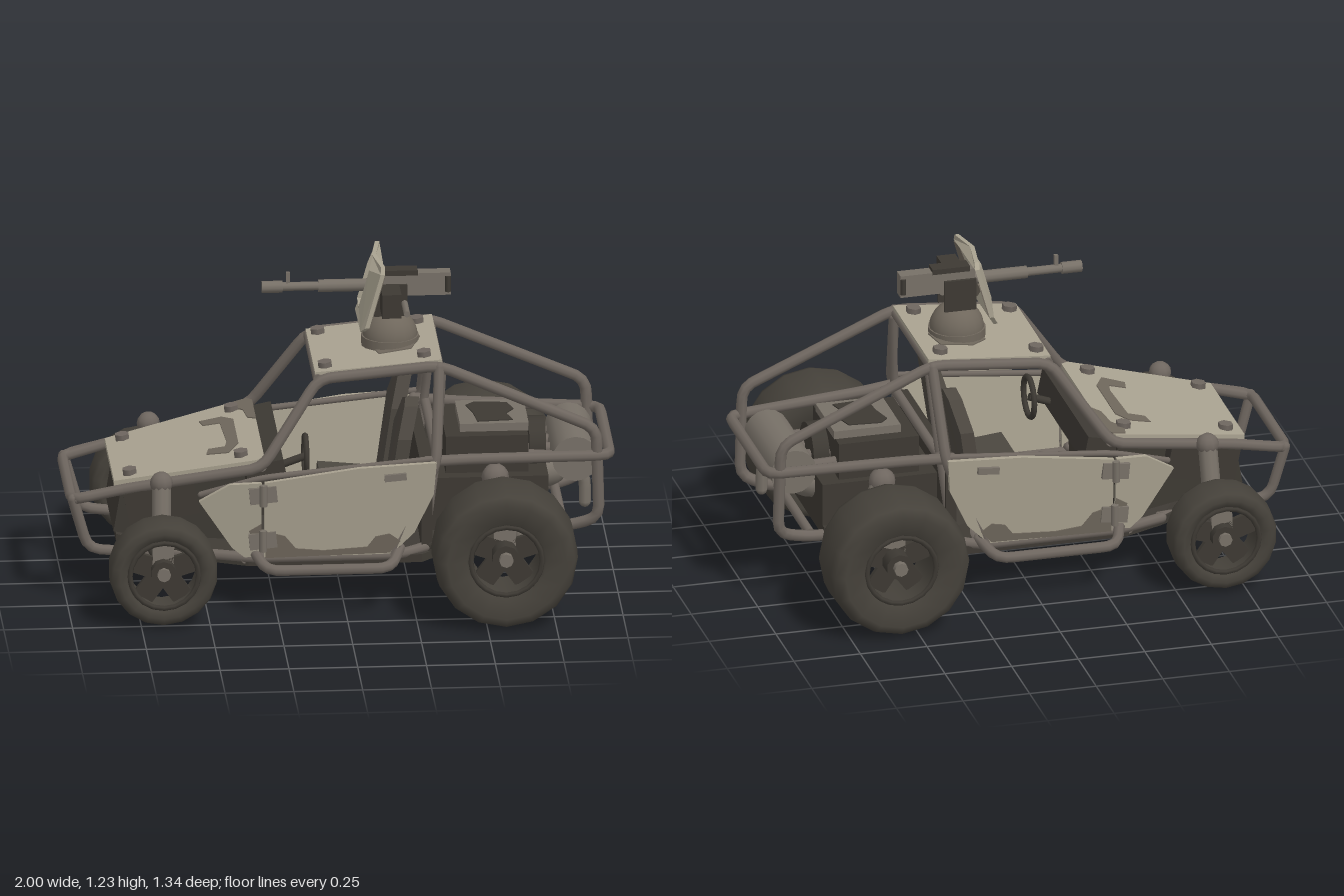
import * as THREE from 'three';
import { mergeGeometries } from 'three/addons/utils/BufferGeometryUtils.js';

const mat = (name, color) => Object.assign(new THREE.MeshStandardMaterial({ color }), { name });
const TAN = mat('sand paint', 0xa9a290), CAMO = mat('brown camouflage', 0x6f675c), TUBE = mat('tube steel', 0x6e665f);
const TYRE = mat('tyre rubber', 0x45413a), DARK = mat('dark chassis', 0x3d3933), METAL = mat('gun metal', 0x777067);
const SEAT = mat('seat fabric', 0x4c4740);
const V = (p) => new THREE.Vector3(...p);

export function createModel() {
  const root = new THREE.Group();
  root.name = 'buggy';
  const add = (name, geo, m, pos = [0, 0, 0], rot = [0, 0, 0], parent = root) => {
    const o = new THREE.Mesh(geo, m);
    o.name = name;
    o.position.set(...pos);
    o.rotation.set(...rot);
    parent.add(o);
    return o;
  };
  const box = (name, m, size, pos, rot, parent) => add(name, new THREE.BoxGeometry(...size), m, pos, rot, parent);
  const cyl = (name, m, r, h, pos, rot, n = 12, parent = root, r2 = r) =>
    add(name, new THREE.CylinderGeometry(r2, r, h, n), m, pos, rot, parent);

  // Straight rod between two points
  const rod = (name, m, a, b, r, n = 10) => {
    const A = V(a), B = V(b), o = cyl(name, m, r, A.distanceTo(B), [0, 0, 0], [0, 0, 0], n);
    o.position.copy(A).lerp(B, 0.5);
    o.quaternion.setFromUnitVectors(new THREE.Vector3(0, 1, 0), B.sub(A).normalize());
    return o;
  };

  // Bent tube: straight runs joined by rounded corners, with ball ends
  const tube = (name, pts, r = 0.02, m = TUBE, bend = 0.05) => {
    const p = pts.map(V), path = new THREE.CurvePath();
    let last = p[0];
    for (let i = 1; i < p.length - 1; i++) {
      const near = (q) => p[i].clone().lerp(q, Math.min(bend / p[i].distanceTo(q), 0.45));
      const a = near(p[i - 1]), b = near(p[i + 1]);
      path.add(new THREE.LineCurve3(last, a));
      path.add(new THREE.QuadraticBezierCurve3(a, p[i], b));
      last = b;
    }
    path.add(new THREE.LineCurve3(last, p[p.length - 1]));
    const ball = (q) => new THREE.SphereGeometry(r, 8, 6).translate(q.x, q.y, q.z);
    const body = new THREE.TubeGeometry(path, Math.max(4, Math.ceil(path.getLength() / 0.03)), r, 8);
    return add(name, mergeGeometries([body, ball(p[0]), ball(p[p.length - 1])]), m);
  };

  // Flat plate from an outline, bent into place by a rule (u, v, w) -> [x, y, z]
  const plate = (name, m, outline, t, rule, hole) => {
    const shape = new THREE.Shape(outline.map((q) => new THREE.Vector2(...q)));
    if (hole) shape.holes.push(new THREE.Path(hole.map((q) => new THREE.Vector2(...q))));
    const g = new THREE.ExtrudeGeometry(shape, { depth: t, bevelEnabled: false }), a = g.attributes.position;
    for (let i = 0; i < a.count; i++) a.setXYZ(i, ...rule(a.getX(i), a.getY(i), a.getZ(i) - t / 2));
    g.computeVertexNormals();
    return add(name, g, m);
  };
  const mirrored = (half) => [...half, ...half.map(([x, z]) => [x, -z]).reverse()];
  const lying = (f) => (x, v, w) => [x, f(x) + w, -v];
  const hoodY = (x) => 0.57 + 0.2 * (x + 0.3), roofY = (x) => 0.865 + 0.09 * (x + 0.09);
  const sideZ = (x, y) => 0.365 + 0.1 * (y - 0.2) - 0.15 * Math.max(0, -0.3 - x);
  const bolt = (x, y, z) => cyl('bolt', TUBE, 0.028, 0.03, [x, y, z], [0, 0, 0.1], 6);

  // Chassis tub, nose, bulkheads and cabin floor
  plate('floorPan', DARK, mirrored([[-0.82, 0.2], [-0.5, 0.3], [-0.35, 0.365], [0.28, 0.365], [0.4, 0.27], [0.75, 0.24]]), 0.03,
    lying((x) => 0.195 + Math.max(0, x - 0.35) * 0.2 + Math.max(0, -0.5 - x) * 0.15));
  plate('nose', DARK, [[-0.83, 0.27], [-0.4, 0.21], [-0.33, 0.54], [-0.8, 0.45]], 0.42, (x, y, w) => [x, y, w * (1.15 + (x + 0.4) * 0.4)]);
  box('frontBulkhead', DARK, [0.03, 0.34, 0.68], [-0.34, 0.375, 0]);
  box('rearBulkhead', DARK, [0.04, 0.33, 0.68], [0.3, 0.37, 0]);
  box('tunnel', DARK, [0.62, 0.12, 0.12], [0, 0.26, 0]);
  box('dashboard', DARK, [0.12, 0.1, 0.64], [-0.27, 0.51, 0], [0, 0, 0.2]);
  box('rearFrame', DARK, [0.46, 0.2, 0.44], [0.52, 0.35, 0]);

  // Hood and roof panels with painted patches and bolts
  plate('hood', TAN, mirrored([[-0.83, 0.235], [-0.32, 0.335], [-0.29, 0.31]]), 0.02, lying(hoodY));
  plate('hoodPatch', CAMO, [[-0.49, 0.19], [-0.41, 0.19], [-0.37, 0.14], [-0.37, -0.12], [-0.41, -0.2], [-0.49, -0.17],
    [-0.48, -0.12], [-0.42, -0.13], [-0.41, -0.08], [-0.42, 0.13], [-0.48, 0.14]], 0.004, lying((x) => hoodY(x) + 0.012));
  plate('hoodCornerPatch', CAMO, [[-0.31, 0.33], [-0.29, 0.3], [-0.29, 0.1], [-0.32, 0.13], [-0.33, 0.22], [-0.37, 0.27], [-0.36, 0.32]],
    0.004, lying((x) => hoodY(x) + 0.012));
  plate('roof', TAN, mirrored([[-0.1, 0.24], [0.36, 0.25]]), 0.02, lying(roofY));
  plate('roofPatch', CAMO, [[0.1, 0.08], [0.16, 0.13], [0.28, 0.12], [0.3, 0.02], [0.26, -0.1], [0.14, -0.12]], 0.004,
    lying((x) => roofY(x) + 0.012));
  for (const s of [1, -1]) {
    bolt(-0.77, hoodY(-0.77) + 0.015, s * 0.19);
    bolt(-0.37, hoodY(-0.37) + 0.015, s * 0.25);
    for (const x of [-0.06, 0.3]) bolt(x, roofY(x) + 0.015, s * 0.185);
  }

  for (const s of [1, -1]) {
    const side = (off) => (x, y, w) => [x, y, s * (sideZ(x, y) + off) + w];
    // Side panels, door, hinges and handle
    plate('cowlPanel', TAN, [[-0.53, 0.43], [-0.41, 0.25], [-0.36, 0.21], [-0.305, 0.21], [-0.305, 0.51], [-0.42, 0.5]], 0.02, side(0));
    plate('door', TAN, [[-0.295, 0.21], [0.17, 0.22], [0.25, 0.3], [0.32, 0.45], [0.33, 0.575], [0.05, 0.56], [-0.295, 0.51]], 0.02, side(0));
    plate('doorPatch', CAMO, [[-0.29, 0.215], [0.16, 0.225], [0.2, 0.27], [0.16, 0.3], [0.11, 0.29], [0.08, 0.25], [-0.08, 0.24], [-0.18, 0.25],
      [-0.22, 0.3], [-0.29, 0.32]], 0.005, side(0.0125));
    plate('cowlPatch', CAMO, [[-0.305, 0.35], [-0.305, 0.25], [-0.33, 0.26], [-0.35, 0.32]], 0.005, side(0.0125));
    for (const y of [0.465, 0.285]) {
      box('hinge', METAL, [0.1, 0.06, 0.02], [-0.3, y, s * (sideZ(-0.3, y) + 0.012)], [0, 0, 0.1]);
      cyl('hingePin', METAL, 0.014, 0.08, [-0.3, y, s * (sideZ(-0.3, y) + 0.022)], [0, 0, 0], 8);
    }
    box('doorHandle', METAL, [0.08, 0.025, 0.025], [0.18, 0.525, s * 0.41], [0, 0, 0.08]);

    // Roll cage
    tube('hoodRail', [[-0.97, 0.41, s * 0.24], [-0.78, 0.455, s * 0.265], [-0.3, 0.55, s * 0.35], [-0.09, 0.855, s * 0.26],
      [0.35, 0.895, s * 0.26], [0.92, 0.645, s * 0.27], [0.93, 0.3, s * 0.265], [0.82, 0.26, s * 0.23], [0.5, 0.25, s * 0.23]], 0.021);
    tube('doorPillar', [[0.35, 0.89, s * 0.265], [0.33, 0.56, s * 0.385], [0.17, 0.22, s * 0.36]]);
    tube('rearStay', [[0.36, 0.87, s * 0.25], [0.34, 0.6, s * 0.31], [0.3, 0.3, s * 0.32]], 0.016);
    tube('frontStay', [[-0.98, 0.41, s * 0.24], [-0.925, 0.215, s * 0.23], [-0.8, 0.2, s * 0.22], [-0.5, 0.2, s * 0.27]]);
    tube('sill', [[-0.5, 0.21, s * 0.3], [-0.33, 0.21, s * 0.36], [0.2, 0.21, s * 0.36], [0.45, 0.25, s * 0.27]]);
    tube('sideStep', [[-0.33, 0.23, s * 0.35], [-0.29, 0.195, s * 0.465], [0.16, 0.195, s * 0.465], [0.2, 0.23, s * 0.35]], 0.02);
    tube('wheelGuardRail', [[-0.52, 0.44, s * 0.31], [-0.3, 0.52, s * 0.37], [0.32, 0.58, s * 0.38]], 0.012);

    // Suspension
    for (const [x, y] of [[-0.72, 0.23], [-0.6, 0.23]]) rod('frontArm', DARK, [x, y + 0.02, s * 0.18], [-0.67, 0.215, s * 0.44], 0.018);
    rod('frontShock', METAL, [-0.67, 0.24, s * 0.4], [-0.665, 0.48, s * 0.335], 0.035);
    add('frontShockCap', new THREE.SphereGeometry(0.042, 10, 8), TUBE, [-0.665, 0.495, s * 0.33]);
    box('shockTower', DARK, [0.26, 0.13, 0.1], [-0.66, 0.4, s * 0.24], [0, 0, 0.2]);
    rod('rearHalfShaft', DARK, [0.57, 0.3, s * 0.15], [0.57, 0.275, s * 0.5], 0.032);
    rod('trailingArm', DARK, [0.3, 0.23, s * 0.31], [0.6, 0.26, s * 0.38], 0.03);
    rod('rearShock', METAL, [0.66, 0.24, s * 0.37], [0.56, 0.47, s * 0.31], 0.035);
    add('rearShockCap', new THREE.SphereGeometry(0.05, 10, 8), TUBE, [0.55, 0.48, s * 0.305]);

    // Seats
    plate('seatBack', SEAT, [[-0.1, 0.3], [0.1, 0.3], [0.11, 0.62], [0.06, 0.73], [0.01, 0.75], [-0.05, 0.73], [-0.11, 0.62]], 0.05,
      (u, v, w) => [0.19 - w + 0.15 * (v - 0.3) + 1.2 * u * u * -1, v, s * 0.17 + u]);
    box('seatCushion', SEAT, [0.24, 0.08, 0.22], [0.06, 0.3, s * 0.17], [0, 0, -0.1]);
  }

  // Cross tubes
  tube('frontBumper', [[-0.78, 0.455, -0.265], [-0.985, 0.41, -0.25], [-0.985, 0.41, 0.25], [-0.78, 0.455, 0.265]]);
  tube('rearBumper', [[0.3, 0.56, -0.35], [0.45, 0.555, -0.32], [0.97, 0.54, -0.27], [0.97, 0.54, 0.27], [0.45, 0.555, 0.32], [0.3, 0.56, 0.35]], 0.021);
  for (const [x, y, h] of [[-0.09, 0.85, 0.25], [0.35, 0.885, 0.25], [-0.3, 0.55, 0.34], [0.34, 0.56, 0.34], [0.8, 0.27, 0.23], [0.2, 0.205, 0.36], [-0.36, 0.205, 0.36]])
    rod('crossTube', TUBE, [x, y, -h], [x, y, h], 0.018);

  // Steering wheel
  add('steeringWheel', new THREE.TorusGeometry(0.075, 0.011, 6, 18), DARK, [-0.13, 0.53, 0.17], [0, Math.PI / 2 - 0.0, 0.35]);
  rod('steeringColumn', DARK, [-0.13, 0.53, 0.17], [-0.27, 0.48, 0.17], 0.014);

  // Engine, exhaust and silencer
  box('engineBlock', DARK, [0.3, 0.18, 0.36], [0.53, 0.5, -0.01]);
  box('engineCover', METAL, [0.25, 0.03, 0.26], [0.56, 0.605, -0.01]);
  plate('engineCoverPatch', DARK, [[0.47, 0.08], [0.5, 0.11], [0.62, 0.1], [0.64, 0.03], [0.61, -0.02], [0.63, -0.09], [0.5, -0.1], [0.49, 0]], 0.004,
    lying(() => 0.622));
  for (const z of [-0.13, -0.04, 0.05, 0.14]) rod('exhaustRunner', TUBE, [0.66, 0.5, z - 0.01], [0.84, 0.49, z], 0.022);
  cyl('pulley', DARK, 0.1, 0.06, [0.72, 0.5, 0], [0, 0, Math.PI / 2], 16);
  cyl('silencer', METAL, 0.085, 0.38, [0.85, 0.5, 0], [Math.PI / 2, 0, 0], 16);
  tube('tailPipe', [[0.86, 0.46, 0.11], [0.89, 0.4, 0.11], [0.89, 0.31, 0.11]], 0.022, METAL);
  const gearbox = add('gearbox', new THREE.SphereGeometry(0.11, 14, 10), METAL, [0.74, 0.4, -0.02]);
  gearbox.scale.set(0.9, 0.65, 0.9);

  // Wheels: tyre, rim, spokes and hub
  const wheel = (name, x, y, z, r, w, hole, n) => {
    const g = new THREE.Group(), s = Math.sign(z);
    g.name = name;
    g.position.set(x, y, z);
    root.add(g);
    const tyre = [[hole, -0.36], [hole * 1.12, -0.44], [r * 0.82, -0.5], [r * 0.94, -0.43], [r * 0.985, -0.3], [r, 0], [r * 0.985, 0.3],
      [r * 0.94, 0.43], [r * 0.82, 0.5], [hole * 1.12, 0.44], [hole, 0.36], [hole, -0.36]];
    add('tyre', new THREE.LatheGeometry(tyre.map(([a, b]) => new THREE.Vector2(a, b * w)), n), TYRE, [0, 0, 0], [Math.PI / 2, 0, 0], g);
    add('rim', new THREE.TorusGeometry(hole, 0.01, 6, 20), DARK, [0, 0, s * w * 0.4], [0, 0, 0], g);
    for (let i = 0; i < 5; i++) {
      const a = (i * Math.PI * 2) / 5 + 0.3;
      box('spoke', i === 1 ? METAL : DARK, [hole, hole * 0.62, 0.02], [Math.cos(a) * hole * 0.55, Math.sin(a) * hole * 0.55, s * w * 0.02], [0, 0, a], g);
    }
    cyl('hub', DARK, hole * 0.38, w * 0.45, [0, 0, s * w * 0.08], [Math.PI / 2, 0, 0], 10, g);
    cyl('hubCap', METAL, hole * 0.2, w * 0.3, [0, 0, s * w * 0.25], [Math.PI / 2, 0, 0], 8, g);
  };
  for (const s of [1, -1]) {
    wheel('frontWheel', -0.67, 0.215, s * 0.493 - 0.01, 0.198, 0.165, 0.125, 18);
    wheel('rearWheel', 0.567, 0.272, s * 0.535, 0.265, 0.265, 0.13, 16);
  }

  // Gun mount on the roof
  add('mountDome', new THREE.SphereGeometry(0.1, 18, 8, 0, Math.PI * 2, 0, Math.PI / 2), CAMO, [0.19, 0.925, -0.01]);
  cyl('mountRing', CAMO, 0.105, 0.04, [0.19, 0.908, -0.01], [0, 0, 0], 18);
  cyl('mountPost', METAL, 0.045, 0.1, [0.19, 1.03, -0.015], [0, 0, 0], 10);
  for (const z of [-0.06, 0.03]) box('cradle', DARK, [0.12, 0.12, 0.012], [0.19, 1.07, z]);
  // Curved, leaning shield with a firing slot
  const outline = [[-0.145, 0.98], [0.11, 0.98], [0.135, 1.0], [0.135, 1.205], [0.12, 1.23], [-0.01, 1.235], [-0.15, 1.235], [-0.175, 1.215], [-0.175, 1.02]];
  const bent = (off) => (u, v, w) => [0.06 + off - w + 0.28 * (v - 0.98) + 1.3 * (u + 0.02) ** 2, v, u];
  plate('shield', TAN, outline, 0.016, bent(0), [[-0.06, 1.05], [0.025, 1.05], [0.025, 1.185], [-0.06, 1.185]]);
  plate('shieldPatch', CAMO, [[0.025, 1.0], [0.13, 1.0], [0.13, 1.2], [0.1, 1.19], [0.08, 1.1], [0.025, 1.06]], 0.005, bent(0.011));
  plate('shieldEdgePatch', CAMO, [[-0.17, 1.03], [-0.1, 1.0], [-0.065, 1.04], [-0.065, 1.18], [-0.12, 1.18], [-0.17, 1.13]], 0.005, bent(0.011));

  // Machine gun and ammunition box
  const gun = (name, r, x0, x1) => rod(name, METAL, [x0, 1.115, -0.02], [x1, 1.115, -0.02], r, 10);
  gun('barrel', 0.016, -0.26, 0.12);
  gun('muzzle', 0.022, -0.275, -0.2);
  gun('barrelJacket', 0.023, -0.07, 0.15);
  box('foreSight', METAL, [0.014, 0.05, 0.012], [-0.18, 1.145, -0.02]);
  box('receiver', METAL, [0.28, 0.085, 0.05], [0.27, 1.12, -0.02]);
  box('receiverCover', DARK, [0.14, 0.02, 0.055], [0.22, 1.165, -0.02]);
  for (const z of [-0.045, 0.005]) rod('grip', DARK, [0.4, 1.09, z], [0.4, 1.15, z], 0.01, 8);
  box('ammoBox', DARK, [0.07, 0.09, 0.12], [0.185, 1.09, 0.1]);
  rod('chargingHandle', METAL, [0.24, 1.06, 0.0], [0.24, 1.06, 0.16], 0.012, 8);

  root.position.z = -0.005;
  const model = new THREE.Group();
  model.name = 'scoutBuggy';
  model.add(root);
  return model;
}
